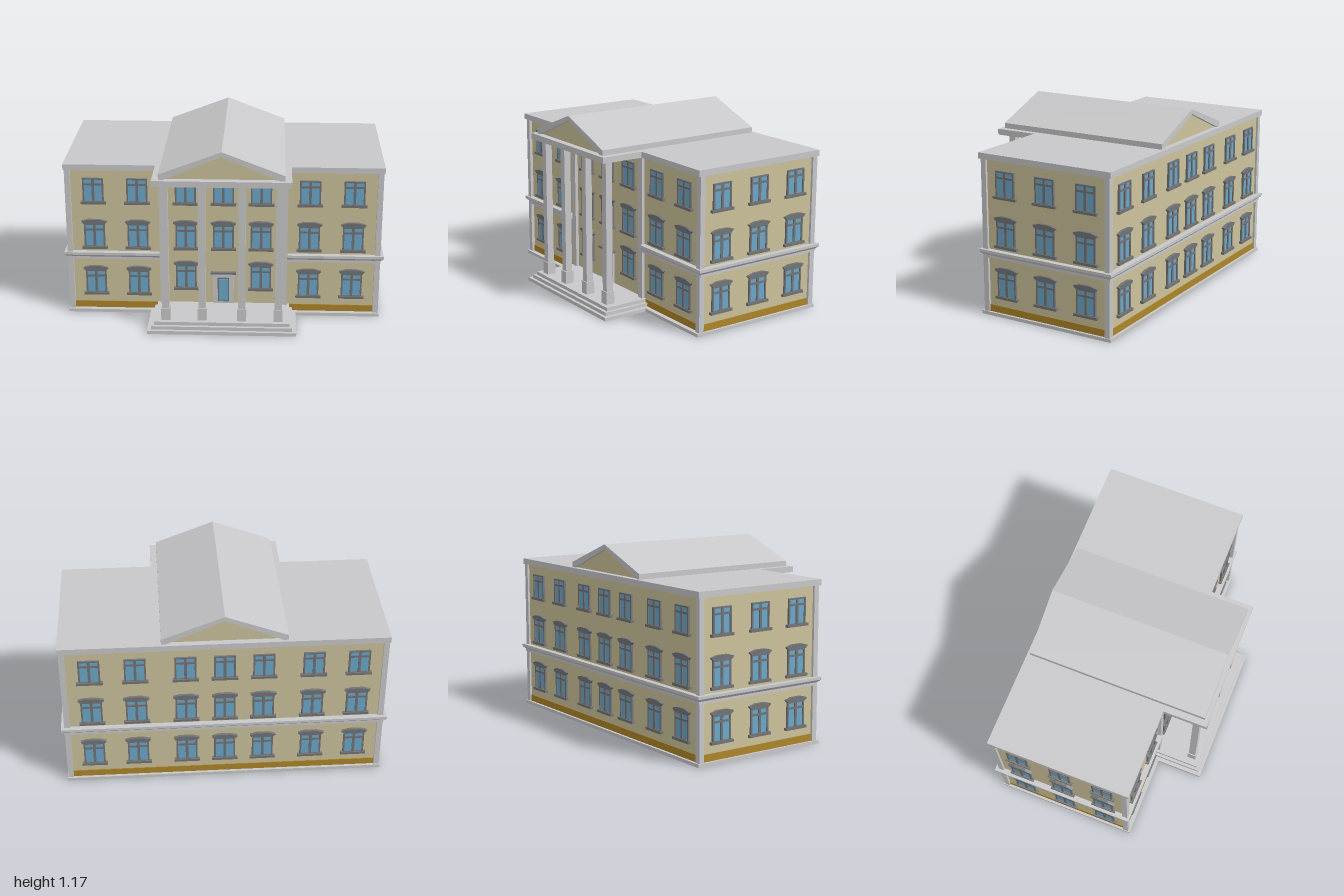
import * as THREE from 'three';

const paint = (name, color) => Object.assign(new THREE.MeshStandardMaterial({ color }), { name });

export function createModel() {
  const model = new THREE.Group();
  model.name = 'columnedBuilding';
  const stone = paint('light grey stone', 0xc8c8ca);
  const plaster = paint('tan plaster', 0xccc29b);
  const ochre = paint('ochre plinth', 0xad852a);
  const trim = paint('dark grey trim', 0x737477);
  const glass = paint('blue glass', 0x6ca8ca);

  // Wall faces and the outer faces of the corner posts
  const X = 0.965, ZF = 0.275, ZB = -0.57;
  const PX = 0.98, PF = 0.296, PB = -0.583;

  const add = (name, geo, mat, parent = model) => {
    const mesh = new THREE.Mesh(geo, mat);
    mesh.name = name;
    parent.add(mesh);
    return mesh;
  };
  // Box given by its limits
  const box = (name, mat, x0, x1, y0, y1, z0, z1, parent) => {
    const mesh = add(name, new THREE.BoxGeometry(x1 - x0, y1 - y0, z1 - z0), mat, parent);
    mesh.position.set((x0 + x1) / 2, (y0 + y1) / 2, (z0 + z1) / 2);
    return mesh;
  };
  const outline = (pts) => new THREE.Shape(pts.map(([x, y]) => new THREE.Vector2(x, y)));
  const extrude = (shape, depth, z = 0) =>
    new THREE.ExtrudeGeometry(shape, { depth, bevelEnabled: false }).translate(0, 0, z);

  // Body, base and flat roof
  box('walls', plaster, -X, X, 0.01, 0.97, ZB, ZF);
  box('baseSlab', stone, -0.985, 0.985, 0, 0.02, -0.592, 0.31);
  box('roofCornice', stone, -0.985, 0.985, 0.96, 0.997, -0.592, 0.31);

  // Corner posts and posts beside the porch
  for (const s of [-1, 1]) {
    const post = (name, xa, xb, y0, z0, z1) =>
      box(name, stone, Math.min(s * xa, s * xb), Math.max(s * xa, s * xb), y0, 0.965, z0, z1);
    post('frontCornerPost', PX - 0.034, PX, 0.015, PF - 0.034, PF);
    post('backCornerPost', PX - 0.034, PX, 0.015, PB, PB + 0.034);
    post('porchPilaster', 0.36, 0.4, 0.06, ZF - 0.01, PF);
  }

  // Ochre plinth strips
  const t = 0.005;
  box('plinthBack', ochre, -X, X, 0.02, 0.063, ZB - t, ZB);
  for (const s of [-1, 1]) {
    box('plinthSide', ochre, s * X - t, s * X + t, 0.02, 0.063, ZB, ZF);
    box('plinthFront', ochre, s * 0.68 - 0.285, s * 0.68 + 0.285, 0.02, 0.063, ZF, ZF + t);
  }

  // String course: a moulding swept round the walls, open at the porch
  const profile = [[0, 0.362], [0.018, 0.362], [0.018, 0.379], [0.035, 0.395], [0.035, 0.412], [0, 0.412]];
  const rings = [
    (o) => [0.4, ZF + o], (o) => [X + o, ZF + o], (o) => [X + o, ZB - o],
    (o) => [-X - o, ZB - o], (o) => [-X - o, ZF + o], (o) => [-0.4, ZF + o],
  ].map((at) => profile.map(([o, y]) => [at(o)[0], y, at(o)[1]]));
  const verts = [], last = profile.length - 1;
  for (let i = 0; i < rings.length - 1; i++) {
    for (let j = 0; j < last; j++) {
      const a = rings[i][j], b = rings[i + 1][j], c = rings[i + 1][j + 1], d = rings[i][j + 1];
      verts.push(...a, ...b, ...c, ...a, ...c, ...d);
    }
  }
  const end = rings[rings.length - 1];
  for (let j = 0; j < last - 1; j++) {
    verts.push(...rings[0][j], ...rings[0][j + 1], ...rings[0][last]);
    verts.push(...end[j + 1], ...end[j], ...end[last]);
  }
  const bandGeo = new THREE.BufferGeometry();
  bandGeo.setAttribute('position', new THREE.Float32BufferAttribute(verts, 3));
  bandGeo.computeVertexNormals();
  add('stringCourse', bandGeo, stone);

  // Window parts, with the origin at the top of the sill on the wall face
  const frameShape = outline([[-0.065, 0], [0.065, 0], [0.065, 0.153], [-0.065, 0.153]]);
  for (const [x0, x1] of [[-0.055, -0.008], [0.008, 0.055]]) {
    for (const [y0, y1] of [[0.003, 0.107], [0.12, 0.144]]) {
      frameShape.holes.push(outline([[x0, y0], [x0, y1], [x1, y1], [x1, y0]]));
    }
  }
  const frameGeo = extrude(frameShape, 0.012);
  const glassGeo = new THREE.BoxGeometry(0.12, 0.148, 0.005).translate(0, 0.076, 0.0025);
  const sillGeo = new THREE.BoxGeometry(0.158, 0.016, 0.02).translate(0, -0.008, 0.01);
  const hoodGeo = extrude(outline([
    [-0.065, 0.151], [0.065, 0.151], [0.079, 0.165], [0.079, 0.169],
    [0.035, 0.181], [-0.035, 0.181], [-0.079, 0.169], [-0.079, 0.165],
  ]), 0.018);
  const addWindow = (x, y, z, turn, hood) => {
    const win = new THREE.Group();
    win.name = 'window';
    add('windowFrame', frameGeo, trim, win);
    add('windowGlass', glassGeo, glass, win);
    add('windowSill', sillGeo, trim, win);
    if (hood) add('windowHood', hoodGeo, trim, win);
    win.position.set(x, y, z);
    win.rotation.y = turn;
    model.add(win);
  };
  const columnsX = [-0.807, -0.535, -0.235, 0, 0.235, 0.535, 0.807];
  [0.13, 0.446, 0.747].forEach((y, floor) => {
    const hood = floor < 2;
    for (const x of columnsX) {
      addWindow(x, y, ZB, Math.PI, hood);
      const inPorch = floor === 0 && Math.abs(x) < 0.3;
      if (!(inPorch && x === 0)) addWindow(x, inPorch ? y + 0.042 : y, ZF, 0, hood);
    }
    for (const z of [0.133, -0.143, -0.42]) {
      for (const s of [-1, 1]) addWindow(s * X, y, z, s * Math.PI / 2, hood);
    }
  });

  // Entrance door
  box('doorSurround', stone, -0.065, 0.065, 0.06, 0.27, ZF, ZF + 0.012);
  box('doorLintel', trim, -0.08, 0.08, 0.27, 0.281, ZF, ZF + 0.024);
  box('doorFrame', trim, -0.036, 0.036, 0.08, 0.243, ZF + 0.01, ZF + 0.016);
  box('doorGlass', glass, -0.028, 0.028, 0.088, 0.235, ZF + 0.014, ZF + 0.019);

  // Porch steps
  [[0.46, 0.605], [0.435, 0.585], [0.417, 0.565]].forEach(([w, z], i) => {
    box('porchStep', stone, -w, w, i * 0.0217, (i + 1) * 0.0217, 0.26, z);
  });

  // Porch columns on square bases
  for (const x of [-0.347, -0.122, 0.122, 0.347]) {
    box('columnBase', stone, x - 0.028, x + 0.028, 0.06, 0.145, 0.483, 0.539);
    box('column', stone, x - 0.022, x + 0.022, 0.14, 0.965, 0.489, 0.533);
  }
  box('porchEntablature', stone, -0.417, 0.417, 0.96, 0.997, 0.3, 0.583);

  // Gable roof with recessed tan ends
  const gable = outline([
    [-0.376, 0.996], [-0.35, 0.996], [0, 1.144], [0.35, 0.996],
    [0.376, 0.996], [0.376, 1.03], [0, 1.173], [-0.376, 1.03],
  ]);
  add('gableRoof', extrude(gable, 1.133, -0.573), stone);
  const tympanum = outline([[-0.352, 0.996], [0.352, 0.996], [0, 1.146]]);
  add('gableEnds', extrude(tympanum, 1.093, -0.553), plaster);

  return model;
}
